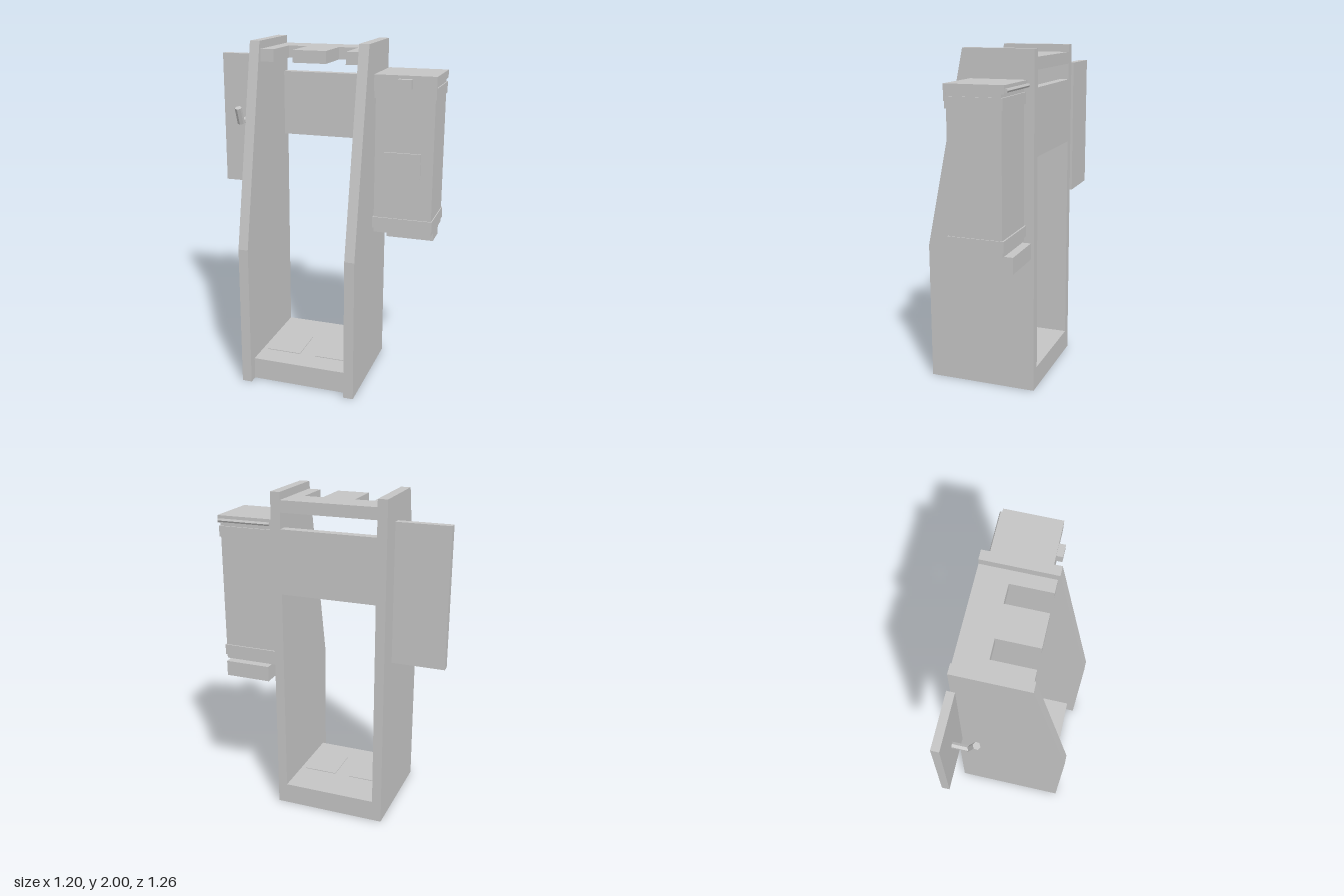
import * as THREE from 'three';

export function createModel() {
  const model = new THREE.Group();
  model.name = 'cabinet';
  // The cabinet is laid out square to its own axes, then turned 45 degrees
  const body = new THREE.Group();
  body.name = 'turnedCabinet';
  body.rotation.y = -Math.PI / 4;
  model.add(body);

  const grey = new THREE.MeshStandardMaterial({ color: 0xc4c4c4 });
  grey.name = 'plain grey';

  const add = (name, geometry, parent = body) => {
    const mesh = new THREE.Mesh(geometry, grey);
    mesh.name = name;
    parent.add(mesh);
    return mesh;
  };
  // Box from its lower and upper limits on each axis
  const box = (name, [x0, x1], [y0, y1], [z0, z1], parent) =>
    add(name, new THREE.BoxGeometry(x1 - x0, y1 - y0, z1 - z0), parent)
      .position.set((x0 + x1) / 2, (y0 + y1) / 2, (z0 + z1) / 2);
  const shapeOf = (points) => new THREE.Shape(points.map(([x, y]) => new THREE.Vector2(x, y)));
  // Straight six-sided rod between two points
  const rod = (name, a, b, radius, parent) => {
    const from = new THREE.Vector3(...a), to = new THREE.Vector3(...b);
    const dir = to.clone().sub(from);
    const geo = new THREE.CylinderGeometry(radius, radius, dir.length(), 6).toNonIndexed();
    geo.computeVertexNormals();
    const mesh = add(name, geo, parent);
    mesh.position.copy(from).add(to).multiplyScalar(0.5);
    mesh.quaternion.setFromUnitVectors(new THREE.Vector3(0, 1, 0), dir.normalize());
  };

  // Side panels with a sloping upper front edge
  const profile = shapeOf([[-0.177, 0], [0.487, 0], [0.487, 0.84], [0.246, 2], [-0.177, 2]]);
  for (const [name, outer] of [['rightSidePanel', -0.304], ['leftSidePanel', 0.332]]) {
    const geo = new THREE.ExtrudeGeometry(profile, { depth: 0.058, bevelEnabled: false });
    geo.rotateY(-Math.PI / 2);
    add(name, geo).position.x = outer;
  }

  // Floor, foot pads and back panel between the sides
  const inner = [-0.304, 0.274];
  box('floor', inner, [0, 0.13], [-0.177, 0.434]);
  for (const x of [-0.168, 0.138]) {
    box('footPad', [x - 0.105, x + 0.105], [0.13, 0.134], [0.06, 0.297]);
  }
  box('backPanel', inner, [1.405, 1.79], [-0.177, -0.12]);

  // Ceiling with two slots open to the front
  const ceiling = new THREE.ExtrudeGeometry(shapeOf([
    [-0.304, -0.177], [0.274, -0.177], [0.274, 0.236],
    [0.197, 0.236], [0.197, -0.002], [0.083, -0.002], [0.083, 0.236],
    [-0.112, 0.236], [-0.112, -0.002], [-0.226, -0.002], [-0.226, 0.236], [-0.304, 0.236],
  ]), { depth: 0.07, bevelEnabled: false });
  ceiling.rotateX(Math.PI / 2);
  add('slottedCeiling', ceiling).position.y = 1.955;

  // Case beside the cabinet, with bands, lid, latch, hinge and bracket
  const sideCase = new THREE.Group();
  sideCase.name = 'sideCase';
  body.add(sideCase);
  box('caseBody', [0.355, 0.688], [0.93, 1.79], [-0.125, 0.182], sideCase);
  for (const y of [0.957, 1.706]) {
    box('caseBand', [0.349, 0.694], [y, y + 0.064], [-0.134, 0.19], sideCase);
  }
  box('lid', [0.347, 0.695], [1.79, 1.835], [-0.144, 0.194], sideCase);
  box('lidLip', [0.347, 0.695], [1.745, 1.79], [0.18, 0.194], sideCase);
  box('latch', [0.485, 0.563], [1.765, 1.817], [0.19, 0.231], sideCase);
  box('frontPlate', [0.41, 0.618], [1.265, 1.405], [0.182, 0.193], sideCase);
  rod('hinge', [0.355, 1.807, -0.15], [0.687, 1.807, -0.15], 0.011, sideCase);
  box('bracket', [0.381, 0.665], [0.835, 0.93], [-0.176, -0.029], sideCase);

  // Door on the other side, with a bent handle
  const door = new THREE.Group();
  door.name = 'door';
  body.add(door);
  box('doorPanel', [-0.716, -0.406], [1.075, 1.885], [-0.178, -0.133], door);
  rod('handleStem', [-0.561, 1.48, -0.133], [-0.561, 1.48, -0.025], 0.018, door);
  rod('handleGrip', [-0.561, 1.47, -0.035], [-0.561, 1.57, 0.003], 0.022, door);

  return model;
}
